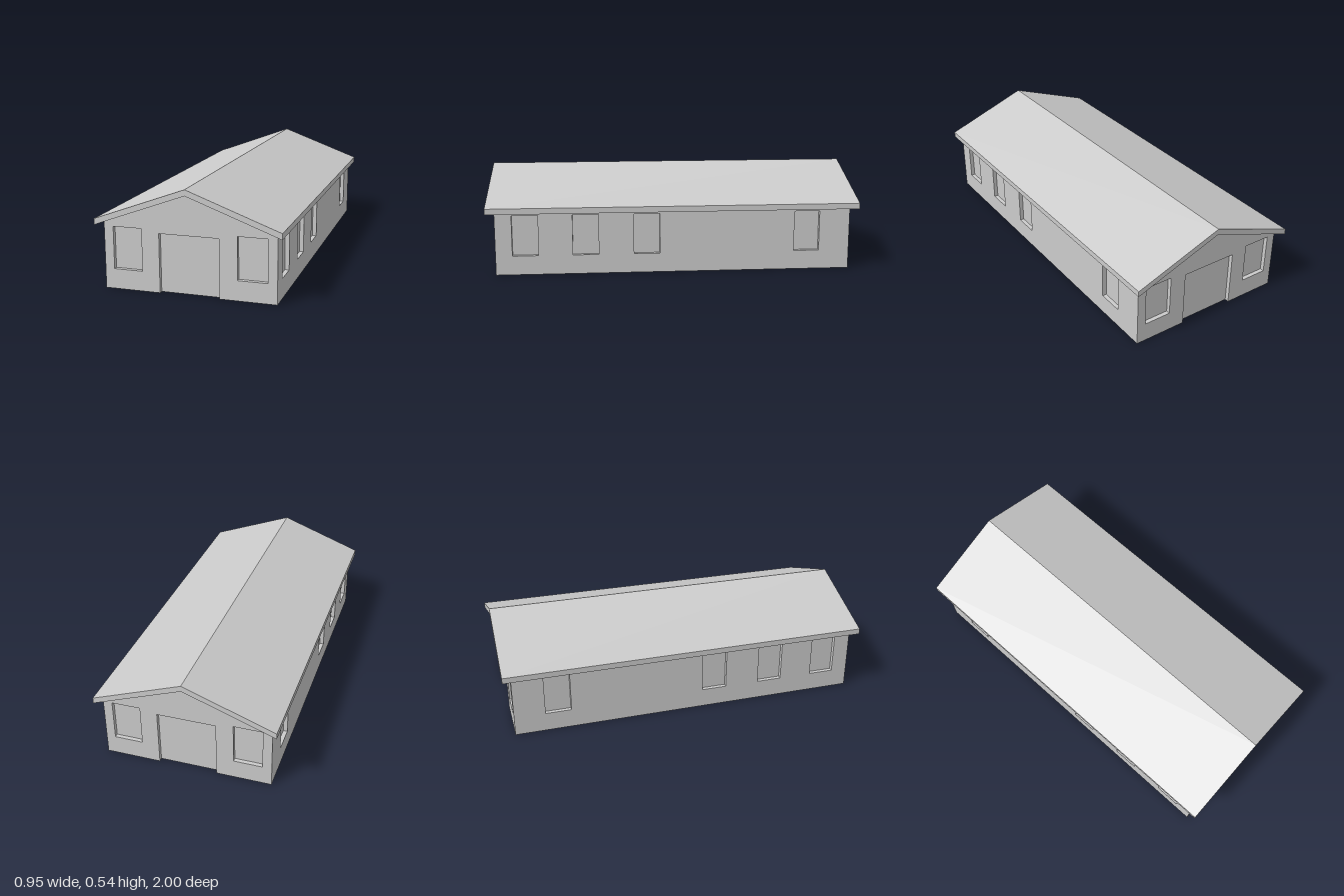
import * as THREE from 'three';

const HALF_W = 0.443, HALF_L = 0.955;      // wall faces
const RIDGE = 0.51, EAVE = 0.335, EAVE_X = 0.475, ROOF_T = 0.031;
const DEPTH = 0.022;                       // recess of windows and doors
const SILL = 0.103, HEAD = 0.321, DOOR_TOP = 0.303, DOOR_HALF = 0.154;
const WALL_TOP = RIDGE - (RIDGE - EAVE) * HALF_W / EAVE_X;

const shell = new THREE.MeshStandardMaterial({ color: 0xcccccc, flatShading: true, side: THREE.DoubleSide });
const solid = new THREE.MeshStandardMaterial({ color: 0xcccccc, flatShading: true });

function named(name, geometry, material) {
  const mesh = new THREE.Mesh(geometry, material);
  mesh.name = name;
  return mesh;
}

const shapeOf = (points) => new THREE.Shape(points.map(([x, y]) => new THREE.Vector2(x, y)));

// Box open at the front (and at the bottom for a door), set behind the wall face
function recess(name, x, y0, y1, width, openBottom) {
  const geometry = new THREE.BoxGeometry(width, y1 - y0, DEPTH);
  const index = Array.from(geometry.index.array);
  geometry.setIndex(index.filter((_, i) => {
    const face = Math.floor(i / 6);        // order: +x -x +y -y +z -z
    return face !== 4 && !(openBottom && face === 3);
  }));
  geometry.clearGroups();
  const mesh = named(name, geometry, shell);
  mesh.position.set(x, (y0 + y1) / 2, -DEPTH / 2);
  return mesh;
}

// Thin wall facing +z with recessed windows
function wall(name, outline, windowCentres, windowWidth) {
  const group = new THREE.Group();
  group.name = name;
  const shape = shapeOf(outline);
  for (const x of windowCentres) {
    const a = x - windowWidth / 2, b = x + windowWidth / 2;
    shape.holes.push(shapeOf([[a, SILL], [a, HEAD], [b, HEAD], [b, SILL]]));
    group.add(recess('window', x, SILL, HEAD, windowWidth, false));
  }
  group.add(named('wallFace', new THREE.ShapeGeometry(shape), shell));
  return group;
}

function gableWall(name) {
  const outline = [
    [-HALF_W, 0], [-DOOR_HALF, 0], [-DOOR_HALF, DOOR_TOP], [DOOR_HALF, DOOR_TOP],
    [DOOR_HALF, 0], [HALF_W, 0], [HALF_W, WALL_TOP], [0, RIDGE], [-HALF_W, WALL_TOP],
  ];
  const group = wall(name, outline, [-0.32, 0.32], 0.15);
  group.add(recess('door', 0, 0, DOOR_TOP, DOOR_HALF * 2, true));
  return group;
}

function sideWall(name, side) {
  const outline = [[-HALF_L, 0], [HALF_L, 0], [HALF_L, WALL_TOP], [-HALF_L, WALL_TOP]];
  const centres = [0.797, 0.477, 0.15, -0.72].map((z) => -side * z);
  const group = wall(name, outline, centres, 0.138);
  group.rotation.y = side * Math.PI / 2;
  group.position.x = side * HALF_W;
  return group;
}

export function createModel() {
  const model = new THREE.Group();
  model.name = 'building';

  // Gable ends with a door and two windows each
  const front = gableWall('frontWall');
  front.position.z = HALF_L;
  const back = gableWall('backWall');
  back.position.z = -HALF_L;
  back.rotation.y = Math.PI;

  // Long sides, mirrored
  model.add(front, back, sideWall('leftWall', 1), sideWall('rightWall', -1));

  // Pitched roof slab
  const profile = shapeOf([
    [-EAVE_X, EAVE], [0, RIDGE], [EAVE_X, EAVE],
    [EAVE_X, EAVE + ROOF_T], [0, RIDGE + ROOF_T], [-EAVE_X, EAVE + ROOF_T],
  ]);
  const roof = new THREE.ExtrudeGeometry(profile, { depth: 2, bevelEnabled: false });
  roof.translate(0, 0, -1);
  model.add(named('roof', roof, solid));

  return model;
}
